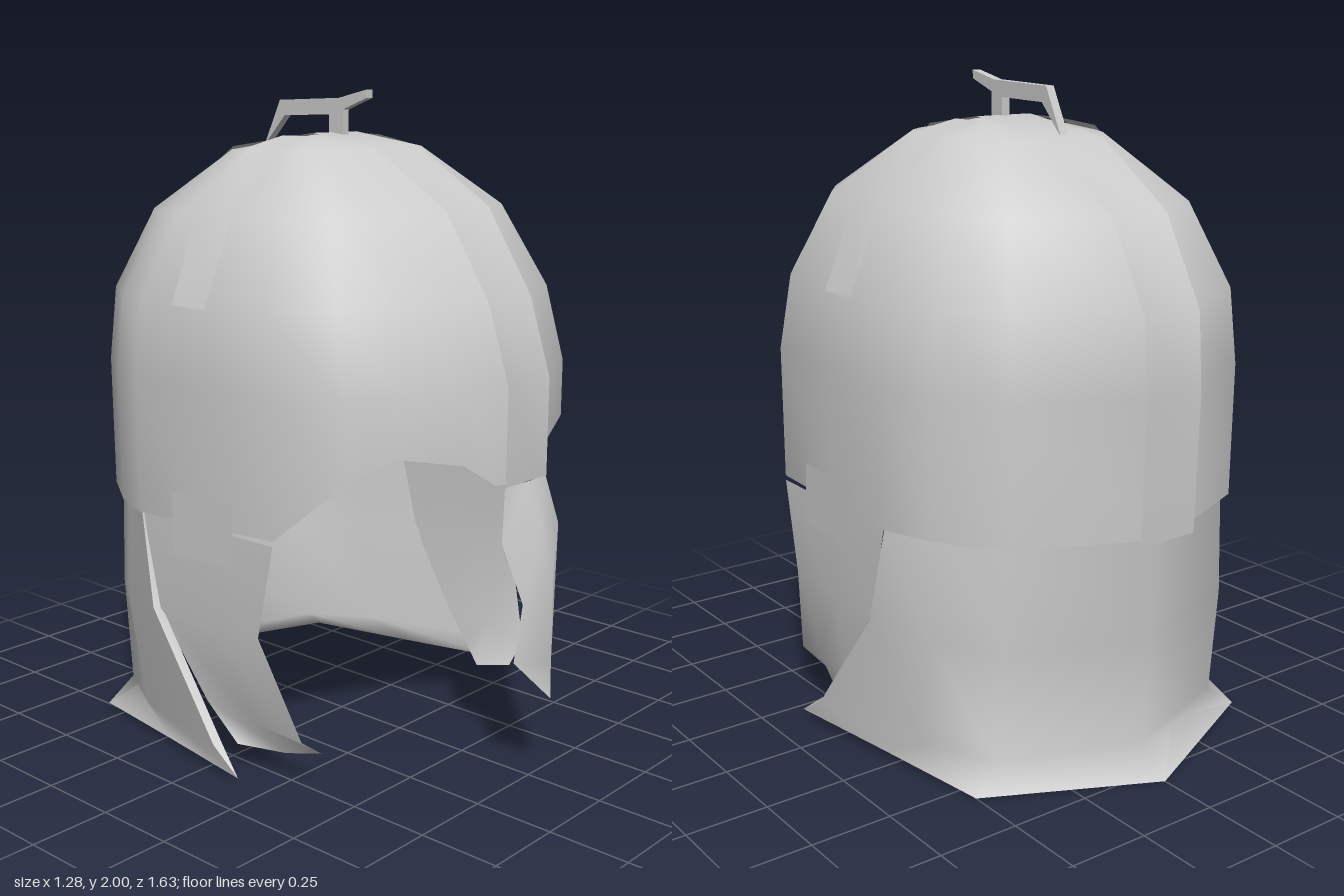
import * as THREE from 'three';

const steel = new THREE.MeshStandardMaterial({ color: 0xcccccc, side: THREE.DoubleSide });

// Smooth sheet through rows of [x, y, z] points
function sheet(name, rows) {
  const cols = rows[0].length, index = [];
  for (let r = 0; r < rows.length - 1; r++) {
    for (let c = 0; c < cols - 1; c++) {
      const a = r * cols + c, b = a + cols;
      index.push(a, a + 1, b, b, a + 1, b + 1);
    }
  }
  const geo = new THREE.BufferGeometry();
  geo.setAttribute('position', new THREE.Float32BufferAttribute(rows.flat(2), 3));
  geo.setIndex(index);
  geo.computeVertexNormals();
  const mesh = new THREE.Mesh(geo, steel);
  mesh.name = name;
  return mesh;
}

const flip = ([x, y, z]) => [-x, y, z];
// Extends a half row (centre point first) across the middle
const mirrorRow = (half) => [...half.slice(1).reverse().map(flip), ...half];
// Full ring: from the front round the left, the back and the right
const mirrorRing = (half) => [...half, ...half.slice(0, -1).reverse().map(flip)];

export function createModel() {
  const helmet = new THREE.Group();
  helmet.name = 'helmet';

  // Skull dome: plan outline with the height of the brow line, front to back
  const rim = [
    [0, 0.9, 0.71], [0.1, 0.9, 0.68], [0.2, 0.97, 0.64], [0.39, 1.01, 0.565],
    [0.5, 0.94, 0.46], [0.61, 0.77, 0.29], [0.613, 0.76, 0], [0.612, 0.75, -0.27],
    [0.545, 0.745, -0.43], [0.42, 0.745, -0.615], [0, 0.74, -0.79],
  ];
  // Each ring: height, then scale to the front, side and back
  const rings = [
    [1.17, 1, 1.003, 1.01], [1.4, 0.905, 0.96, 0.985], [1.647, 0.695, 0.78, 0.8],
    [1.825, 0.33, 0.44, 0.445], [1.866, 0.02, 0.16, 0.02], [1.868, 0.005, 0.005, 0.005],
  ];
  const zMid = -0.03;
  const domeRows = [rim, ...rings.map(([y, front, side, back]) => rim.map(([x, , z]) => {
    const depth = (z - zMid) * (z > zMid ? front : back);
    return [x * side, y + 0.025 * depth, zMid + depth];
  }))];
  helmet.add(sheet('dome', domeRows.map(mirrorRing)));

  // Long band over the crown, as [y, z]
  const crown = [
    [0.9, 0.715], [1.19, 0.716], [1.42, 0.643], [1.667, 0.487], [1.837, 0.218], [1.872, -0.03],
    [1.823, -0.375], [1.637, -0.65], [1.385, -0.79], [1.15, -0.807], [0.74, -0.795],
  ];
  helmet.add(sheet('crownBand', crown.map(([y, z]) => [[-0.1, y, z], [0.1, y, z]])));

  // Nose guard with a raised ridge: edge height, half width, edge z, ridge height, ridge z
  const nose = [
    [0.9, 0.1, 0.712, 0.9, 0.718], [0.75, 0.14, 0.735, 0.77, 0.772], [0.56, 0.08, 0.77, 0.63, 0.815],
    [0.38, 0.09, 0.75, 0.38, 0.818], [0.265, 0.002, 0.82, 0.265, 0.82],
  ];
  helmet.add(sheet('noseGuard', nose.map(([y, w, edge, ridgeY, ridge]) =>
    [[-w, y, edge], [0, ridgeY, ridge], [w, y, edge]])));

  // Neck guard flaring out at the bottom, centre back to side edge
  const neck = [
    [[0, 0.75, -0.757], [0.41, 0.75, -0.59], [0.535, 0.75, -0.415], [0.605, 0.75, -0.27]],
    [[0, 0.42, -0.745], [0.42, 0.42, -0.59], [0.55, 0.44, -0.41], [0.622, 0.46, -0.21]],
    [[0, 0.08, -0.705], [0.42, 0.085, -0.56], [0.54, 0.09, -0.35], [0.636, 0.1, 0.06]],
    [[0, 0, -0.815], [0.51, 0.01, -0.58], [0.575, 0.02, -0.2], [0.642, 0.03, 0.17]],
  ];
  helmet.add(sheet('neckGuard', neck.map(mirrorRow)));

  // Inner wall of the neck guard, meeting the outer wall at the bottom
  const lining = neck.map((row, i) => row.map(([x, y, z]) =>
    (i < 3 ? [x * 0.972, y, z + 0.022] : [x, y, z])));
  helmet.add(sheet('neckLining', lining.map((row) => mirrorRow(row).reverse())));

  // Side parts, made for the left and mirrored to the right
  const cheek = [
    [[0.61, 0.755, 0.29], [0.612, 0.755, 0], [0.603, 0.755, -0.265]],
    [[0.612, 0.47, 0.23], [0.614, 0.46, 0.02], [0.608, 0.46, -0.2]],
    [[0.545, 0.16, 0.335], [0.565, 0.175, 0.17], [0.582, 0.2, -0.02]],
    [[0.465, 0.1, 0.34], [0.47, 0.06, 0.2], [0.56, 0.085, 0.085]],
  ];
  const hinge = [
    [[0.622, 0.85, 0.14], [0.623, 0.845, -0.11]],
    [[0.623, 0.66, 0.145], [0.624, 0.655, -0.11]],
  ];
  const strap = [[0.14, 1.864], [0.285, 1.834], [0.49, 1.663], [0.605, 1.395]]
    .map(([x, y]) => [[x, y, 0.025], [x, y, -0.115]]);
  // Front edge closing the two walls of the neck guard
  const lip = neck.map((row, i) => [lining[i].at(-1), row.at(-1)]);
  const sideParts = [['CheekGuard', cheek], ['HingePlate', hinge], ['CrossBand', strap], ['NeckEdge', lip]];
  for (const [part, rows] of sideParts) {
    // Reversing the left rows keeps the faces turned outward
    helmet.add(sheet('left' + part, rows.map((row) => [...row].reverse())));
    helmet.add(sheet('right' + part, rows.map((row) => row.map(flip))));
  }

  // Crest holder: thin side profile as [z, y]
  const profile = [
    [0.11, 2], [0, 1.975], [-0.25, 1.967], [-0.32, 1.825], [-0.23, 1.92],
    [-0.04, 1.925], [-0.04, 1.86], [0.015, 1.86], [0.015, 1.94], [0.11, 1.975],
  ];
  const shape = new THREE.Shape(profile.map(([z, y]) => new THREE.Vector2(-z, y)));
  const crestGeo = new THREE.ExtrudeGeometry(shape, { depth: 0.028, bevelEnabled: false });
  crestGeo.translate(0, 0, -0.014).rotateY(Math.PI / 2);
  const crest = new THREE.Mesh(crestGeo, steel);
  crest.name = 'crestHolder';
  helmet.add(crest);

  return helmet;
}
